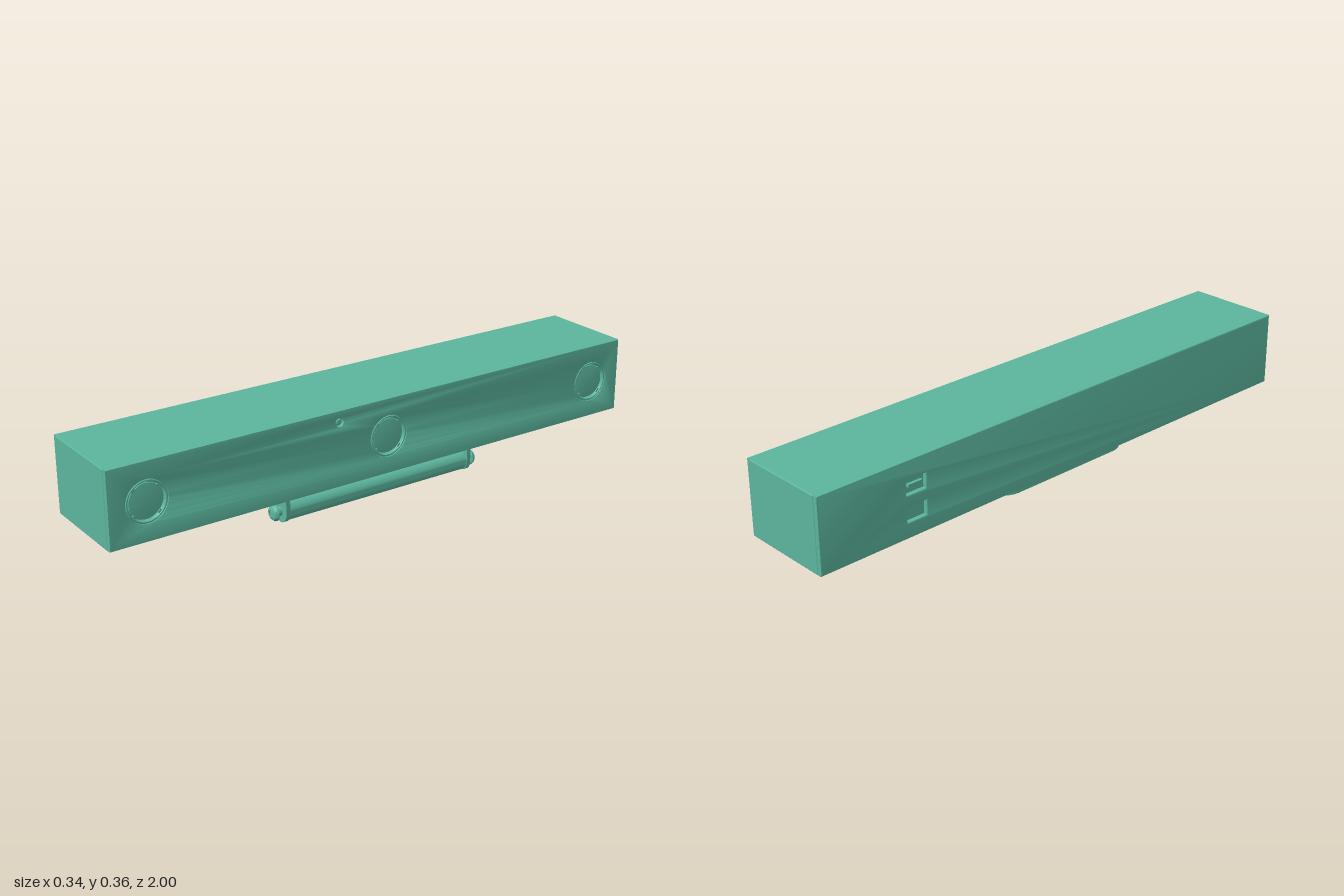
import * as THREE from 'three';
import { RoundedBoxGeometry } from 'three/addons/geometries/RoundedBoxGeometry.js';
import { toCreasedNormals } from 'three/addons/utils/BufferGeometryUtils.js';

const material = new THREE.MeshStandardMaterial({ color: 0x5bb59d });
const MID_Y = 0.23;

function add(parent, name, geometry, x = 0, y = 0, z = 0) {
  const mesh = new THREE.Mesh(geometry, material);
  mesh.name = name;
  mesh.position.set(x, y, z);
  parent.add(mesh);
  return mesh;
}

function rectangle(target, cx, cy, w, h) {
  target.moveTo(cx - w / 2, cy - h / 2);
  target.lineTo(cx + w / 2, cy - h / 2);
  target.lineTo(cx + w / 2, cy + h / 2);
  target.lineTo(cx - w / 2, cy + h / 2);
  target.closePath();
  return target;
}

function circle(cx, cy, r) {
  return new THREE.Path().absarc(cx, cy, r, 0, Math.PI * 2, true);
}

// Side panel in the z-y plane with cut-outs, 0.024 thick along x
function sidePanel(holes) {
  const shape = rectangle(new THREE.Shape(), 0, MID_Y, 1.996, 0.259);
  shape.holes.push(...holes);
  const b = 0.005;
  const g = new THREE.ExtrudeGeometry(shape, {
    depth: 0.024 - 2 * b, bevelThickness: b, bevelSize: b, bevelOffset: -b,
    bevelSegments: 2, curveSegments: 40,
  });
  g.translate(0, 0, b - 0.012);
  g.rotateY(Math.PI / 2);
  return toCreasedNormals(g, 0.5);
}

// Turned part whose axis points along +x
function turnedX(profile, segments = 40) {
  const g = new THREE.LatheGeometry(profile.map(([r, h]) => new THREE.Vector2(r, h)), segments);
  g.rotateZ(-Math.PI / 2);
  return toCreasedNormals(g, 0.5);
}

// Round lens with raised trim ring, dished well and slightly domed glass
function createLens(z) {
  const lens = new THREE.Group();
  lens.name = 'lens';
  lens.position.set(0.155, MID_Y, z);
  add(lens, 'trimRing', turnedX([
    [0.070, 0], [0.070, 0.012], [0.068, 0.014], [0.064, 0.014], [0.060, 0.006], [0.060, 0],
  ]));
  add(lens, 'glass', turnedX([[0.060, 0.003], [0.057, 0.007], [0.040, 0.009], [0.020, 0.010], [0, 0.0105]]));
  for (let i = 0; i < 4; i++) {
    const a = Math.PI / 4 + i * Math.PI / 2;
    const tab = add(lens, 'ringTab', new THREE.BoxGeometry(0.011, 0.006, 0.014),
      0.0055, 0.059 * Math.sin(a), 0.059 * Math.cos(a));
    tab.rotation.x = Math.PI / 2 - a;
  }
  return lens;
}

// Fold-out clip below the body: plate, barrel, end tabs and pins
function createMount() {
  const mount = new THREE.Group();
  mount.name = 'mount';
  const hx = 0.096, hy = 0.037;

  // Plate outline in x / z, tapering towards the back with rounded corners
  const outline = new THREE.Shape();
  outline.moveTo(0.065, -0.355);
  outline.lineTo(0.03, -0.345);
  outline.lineTo(-0.12, -0.275);
  outline.quadraticCurveTo(-0.15, -0.26, -0.155, -0.22);
  outline.lineTo(-0.155, 0.22);
  outline.quadraticCurveTo(-0.15, 0.26, -0.12, 0.275);
  outline.lineTo(0.03, 0.345);
  outline.lineTo(0.065, 0.355);
  outline.closePath();
  const plate = new THREE.ExtrudeGeometry(outline, { depth: 0.013, bevelEnabled: false });
  plate.rotateX(Math.PI / 2);
  add(mount, 'plate', toCreasedNormals(plate, 0.5), 0, 0.094, 0);
  add(mount, 'pivotPad', new THREE.CylinderGeometry(0.085, 0.085, 0.01, 32), 0, 0.097, 0);

  const barrel = new THREE.CylinderGeometry(0.034, 0.034, 0.72, 32);
  barrel.rotateX(Math.PI / 2);
  add(mount, 'barrel', toCreasedNormals(barrel, 0.5), hx, hy, 0);
  add(mount, 'hingeWeb', new THREE.BoxGeometry(0.045, 0.056, 0.71), 0.0825, 0.065, 0);
  add(mount, 'hingeTop', new THREE.BoxGeometry(0.068, 0.008, 0.71), hx, 0.089, 0);

  // U-shaped tabs closing both ends
  const tab = new THREE.Shape();
  tab.moveTo(-0.0365, 0.056);
  tab.lineTo(-0.0365, 0);
  tab.absarc(0, 0, 0.0365, Math.PI, Math.PI * 2, false);
  tab.lineTo(0.0365, 0.056);
  tab.closePath();
  const tabGeometry = toCreasedNormals(new THREE.ExtrudeGeometry(tab, {
    depth: 0.015, bevelEnabled: false, curveSegments: 24,
  }), 0.5);

  // Neck, domed head and hexagonal socket
  const pin = turnedX([
    [0.015, 0], [0.015, 0.017], [0.024, 0.017], [0.028, 0.020],
    [0.027, 0.025], [0.022, 0.032], [0.011, 0.036], [0.011, 0.028], [0, 0.028],
  ], 32);
  const socket = new THREE.CylinderGeometry(0.0112, 0.0112, 0.004, 6);
  socket.rotateX(Math.PI / 2);
  for (const side of [-1, 1]) {
    add(mount, 'endTab', tabGeometry, hx, hy, side * 0.3625 - 0.0075);
    const pinMesh = add(mount, 'endPin', pin, hx, hy, side * 0.369);
    pinMesh.rotation.y = -side * Math.PI / 2;
    add(mount, 'pinSocket', socket, hx, hy, side * 0.400);
  }
  return mount;
}

export function createModel() {
  const model = new THREE.Group();
  model.name = 'sensorBar';

  add(model, 'bodyCore', new RoundedBoxGeometry(0.31, 0.26, 2, 2, 0.004), 0, MID_Y, 0);

  // Lens side
  const lensZ = [0.87, 0, -0.87];
  const holes = lensZ.map((z) => circle(-z, MID_Y, 0.070));
  holes.push(circle(-0.19, 0.32, 0.014));
  add(model, 'lensPanel', sidePanel(holes), 0.158, 0, 0);
  lensZ.forEach((z) => model.add(createLens(z)));
  add(model, 'indicator', turnedX([[0.011, 0], [0.011, 0.008], [0.008, 0.011], [0, 0.012]], 20), 0.155, 0.32, 0.19);

  // Connector side
  const ports = [0.27, 0.18].map((y) => rectangle(new THREE.Path(), 0.64, y, 0.075, 0.05));
  add(model, 'portPanel', sidePanel(ports), -0.158, 0, 0);
  add(model, 'portTongue', new THREE.BoxGeometry(0.012, 0.010, 0.055), -0.160, 0.272, -0.64);

  model.add(createMount());
  return model;
}
